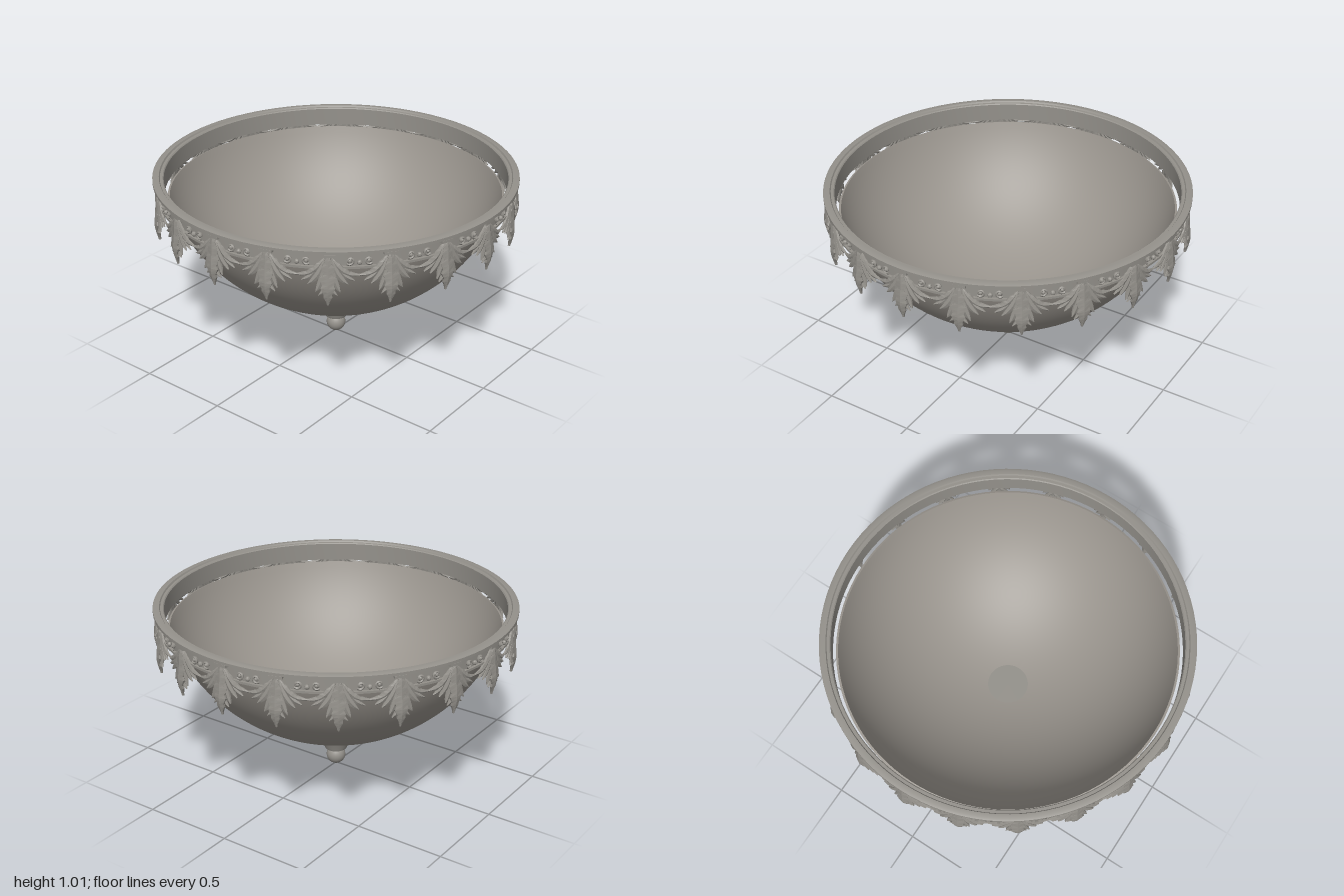
import * as THREE from 'three';
import { mergeGeometries, toCreasedNormals } from 'three/addons/utils/BufferGeometryUtils.js';

const MOTIFS = 20;
const R = 0.96;                       // radius the ornament is wrapped around
const HALF = Math.PI * R / MOTIFS;    // half the arc of one motif

const stone = new THREE.MeshStandardMaterial({ color: 0x9a958e });
stone.name = 'warm grey';
const metal = new THREE.MeshStandardMaterial({ color: 0x94918b });
metal.name = 'antique grey';
const carved = metal.clone();
carved.flatShading = true;
carved.name = 'carved grey';

const v2 = (pts) => pts.map(([x, y]) => new THREE.Vector2(x, y));

function turned(name, pts, material, segments = 80) {
  const geo = toCreasedNormals(new THREE.LatheGeometry(v2(pts), segments), 0.6);
  const mesh = new THREE.Mesh(geo, material);
  mesh.name = name;
  return mesh;
}

// Wraps flat ornament (arc length, height, relief) around the ring
function wrap(geo) {
  const p = geo.attributes.position;
  for (let i = 0; i < p.count; i++) {
    const a = p.getX(i) / R, r = R + p.getZ(i);
    p.setXYZ(i, r * Math.sin(a), p.getY(i), r * Math.cos(a));
  }
  geo.computeVertexNormals();
  return geo;
}

// A thick carved leaf along a spine; each spine point is [u, v, relief]
function leaf(spine, width, depth, notches = 0, side = 1) {
  const curve = new THREE.CatmullRomCurve3(spine.map(([u, v, d]) => new THREE.Vector3(u * side, v, d)));
  const geo = new THREE.CylinderGeometry(1, 1, 1, 6, notches ? notches * 3 : 8);
  const p = geo.attributes.position;
  for (let i = 0; i < p.count; i++) {
    const t = 0.5 - p.getY(i);
    const c = curve.getPoint(t), g = curve.getTangent(t);
    const saw = notches ? 1 - 0.38 * ((t * notches + 0.001) % 1) : 1;
    const body = 0.12 + 0.88 * Math.sin(Math.PI * Math.pow(t, 0.8)) ;
    const w = width * body * saw * p.getX(i);
    c.x += -g.y * w;
    c.y += g.x * w;
    c.z += depth * (0.35 + 0.65 * body) * p.getZ(i);
    p.setXYZ(i, c.x, c.y, c.z);
  }
  return geo.toNonIndexed();
}

// A small volute: a tube wound inwards
function scroll(u, v, size, side) {
  const pts = [];
  for (let i = 0; i <= 14; i++) {
    const a = -2.4 + i * 0.55, r = size * (1 - i / 18);
    pts.push(new THREE.Vector3(side * (u + r * Math.cos(a)), v + r * Math.sin(a), 0));
  }
  const tube = new THREE.TubeGeometry(new THREE.CatmullRomCurve3(pts), 22, 0.007, 5);
  return tube.toNonIndexed();
}

function box(w, h, d, x, y, z) {
  return new THREE.BoxGeometry(w, h, d, 4, 1, 1).translate(x, y, z).toNonIndexed();
}

function bead(u, v, r) {
  return new THREE.SphereGeometry(r, 8, 6).translate(u, v, 0.002).toNonIndexed();
}

function motifParts() {
  const acanthus = [leaf([[0, 0.97, 0.01], [0, 0.88, 0.012], [0, 0.79, 0.022], [0, 0.71, 0.012]], 0.045, 0.016, 5)];
  const garland = [], scrolls = [];
  for (const s of [1, -1]) {
    // Side leaflets of the acanthus
    acanthus.push(
      leaf([[0.012, 0.96, 0.008], [0.022, 0.88, 0.012], [0.045, 0.81, 0.014], [0.058, 0.785, 0.018]], 0.017, 0.011, 0, s),
      leaf([[0.014, 0.965, 0.005], [0.04, 0.89, 0.01], [0.072, 0.845, 0.012], [0.095, 0.825, 0.014]], 0.017, 0.011, 0, s),
      leaf([[0, 0.83, 0.012], [0.02, 0.79, 0.014], [0.045, 0.765, 0.016]], 0.013, 0.01, 0, s),
    );
    // Swag hanging between neighbouring leaves
    garland.push(
      leaf([[0.018, 0.96, 0.002], [0.055, 0.91, 0.006], [0.1, 0.877, 0.006], [HALF + 0.012, 0.868, 0.004]], 0.021, 0.012, 4, s),
      leaf([[0.055, 0.9, 0.006], [0.09, 0.862, 0.008], [0.128, 0.842, 0.01]], 0.013, 0.01, 0, s),
      box(0.1, 0.012, 0.02, s * (HALF - 0.05), 0.908, -0.004),
    );
    scrolls.push(scroll(0.105, 0.943, 0.021, s), bead(s * 0.105, 0.943, 0.01));
  }
  garland.push(bead(HALF, 0.935, 0.013));
  const cap = [box(0.07, 0.014, 0.026, 0, 0.978, 0.008), bead(0, 0.955, 0.017)];
  return { acanthusLeaf: acanthus, garland, scrolls, leafCap: cap };
}

export function createModel() {
  const model = new THREE.Group();
  model.name = 'bowlLight';

  // Shallow bowl: a spherical cap with a thin wall
  const outer = [], inner = [];
  const edge = Math.asin(0.91 / 0.96);
  for (let i = 0; i <= 32; i++) {
    const a = edge * i / 32;
    outer.push([0.96 * Math.sin(a), 1.195 - 0.96 * Math.cos(a)]);
    inner.unshift([0.948 * Math.sin(a), 1.195 - 0.948 * Math.cos(a)]);
  }
  model.add(turned('bowl', [...outer, ...inner], stone, 96));

  // Moulded ring around the rim
  model.add(turned('ring', [
    [0.925, 0.895], [0.945, 0.895], [0.952, 0.905], [0.952, 0.975], [0.965, 0.985], [0.985, 0.988],
    [0.985, 1.003], [0.972, 1.008], [0.95, 1.008], [0.945, 1.0], [0.93, 1.0], [0.925, 0.995], [0.925, 0.895],
  ], metal, 96));

  // Finial under the bowl
  model.add(turned('finialCup', [
    [0, 0.1], [0.062, 0.1], [0.068, 0.115], [0.08, 0.15], [0.1, 0.19], [0.13, 0.225],
    [0.155, 0.24], [0.157, 0.254], [0, 0.254],
  ], metal, 40));
  const ball = new THREE.Mesh(new THREE.SphereGeometry(0.054, 24, 16), metal);
  ball.name = 'finialBall';
  ball.position.y = 0.054;
  model.add(ball);

  // Repeated carved ornament
  const parts = Object.entries(motifParts()).map(([name, list]) => [name, wrap(mergeGeometries(list))]);
  for (let i = 0; i < MOTIFS; i++) {
    const motif = new THREE.Group();
    motif.name = 'ornament';
    motif.rotation.y = i * 2 * Math.PI / MOTIFS;
    for (const [name, geo] of parts) {
      const mesh = new THREE.Mesh(geo, carved);
      mesh.name = name;
      motif.add(mesh);
    }
    model.add(motif);
  }
  return model;
}
